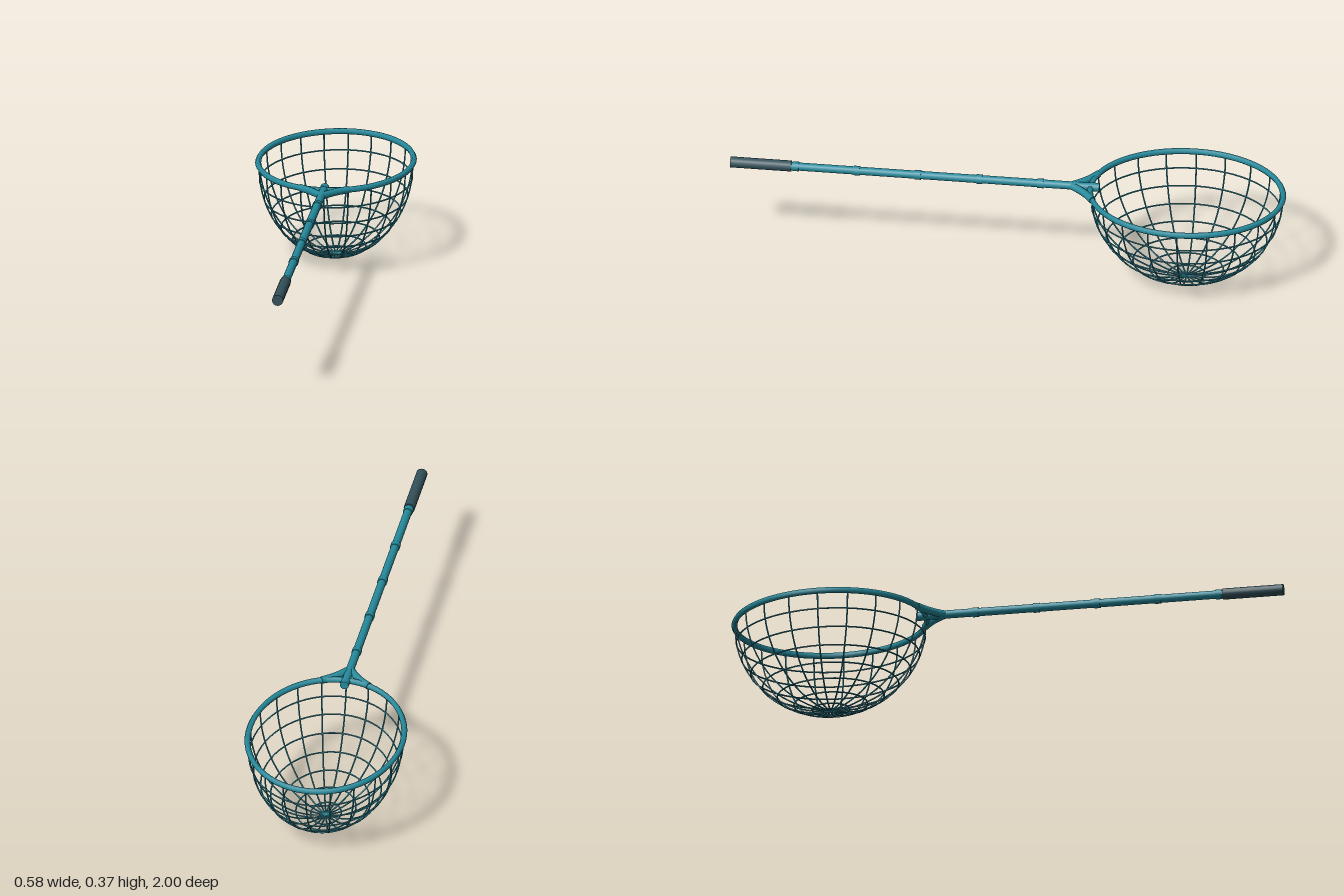
import * as THREE from 'three';

const Y = 0.351;            // height of rim and pole axis
const CZ = -0.6435;         // centre of the hoop
const RX = 0.277, RZ = 0.3462, DEPTH = 0.3482;

const teal = new THREE.MeshStandardMaterial({ color: 0x258b9d });
const cord = new THREE.MeshStandardMaterial({ color: 0x2a8496 });
const rubber = new THREE.MeshStandardMaterial({ color: 0x33515a });

// Oval hoop: a torus stretched by shifting, so its section stays even
function ovalRing(scale, tube, sides, segments) {
  const geo = new THREE.TorusGeometry(RX * scale, tube, sides, segments);
  geo.rotateX(Math.PI / 2);
  const p = geo.attributes.position;
  for (let i = 0; i < p.count; i++) {
    const a = Math.atan2(p.getZ(i), p.getX(i));
    p.setZ(i, p.getZ(i) + (RZ - RX) * scale * Math.sin(a));
  }
  return geo;
}

export function createModel() {
  const model = new THREE.Group();

  function add(parent, name, geo, mat, x = 0, y = 0, z = 0) {
    const mesh = new THREE.Mesh(geo, mat);
    mesh.name = name;
    mesh.position.set(x, y, z);
    parent.add(mesh);
    return mesh;
  }

  // Round bar along z, from z0 (front) to z1 (back)
  function bar(name, z0, z1, radius, mat) {
    const geo = new THREE.CylinderGeometry(radius, radius, z0 - z1, 16);
    geo.rotateX(Math.PI / 2);
    add(model, name, geo, mat, 0, Y, (z0 + z1) / 2);
  }

  // Pole, its joints, tip and grip
  bar('pole', 0.8, -0.33, 0.0148, teal);
  for (let i = 0; i < 5; i++) {
    const z = 0.765 - i * 0.2205;
    bar('poleJoint', z + 0.011, z - 0.011, 0.0175, teal);
  }
  bar('poleTip', -0.296, -0.33, 0.016, teal);
  bar('grip', 1, 0.78, 0.02, rubber);

  // Rim
  add(model, 'rim', ovalRing(1, 0.0108, 6, 72), teal, 0, Y, CZ);

  // Fork arms joining pole to rim
  for (const s of [-1, 1]) {
    const path = new THREE.CatmullRomCurve3([
      new THREE.Vector3(0, Y, -0.225),
      new THREE.Vector3(s * 0.022, Y, -0.256),
      new THREE.Vector3(s * 0.052, Y, -0.288),
      new THREE.Vector3(s * 0.087, Y, -0.315),
    ]);
    add(model, 'forkArm', new THREE.TubeGeometry(path, 16, 0.0135, 10), teal);
    // Close the arm where it meets the rim
    const end = path.getPointAt(1);
    const cap = add(model, 'forkArmCap', new THREE.CircleGeometry(0.0135, 10), teal, end.x, end.y, end.z);
    cap.lookAt(end.add(path.getTangentAt(1)));
  }

  // Net: level rings and strands meeting at the bottom of the bowl
  const net = new THREE.Group();
  net.name = 'net';
  net.position.set(0, Y, CZ);
  model.add(net);
  const LEVELS = 8, STRANDS = 20, CORD = 0.0028;
  for (let i = 1; i < LEVELS; i++) {
    const a = (i / LEVELS) * Math.PI / 2;
    add(net, 'netRing', ovalRing(Math.cos(a), CORD, 6, 60), cord, 0, -DEPTH * Math.sin(a), 0);
  }
  for (let k = 0; k < STRANDS; k++) {
    const t = (k / STRANDS) * Math.PI * 2;
    const points = [];
    for (let i = 0; i <= 12; i++) {
      const a = (i / 12) * Math.PI / 2;
      points.push(new THREE.Vector3(
        RX * Math.cos(a) * Math.sin(t), -DEPTH * Math.sin(a), RZ * Math.cos(a) * Math.cos(t)));
    }
    const path = new THREE.CatmullRomCurve3(points);
    add(net, 'netStrand', new THREE.TubeGeometry(path, 24, CORD, 6), cord);
  }

  return model;
}
